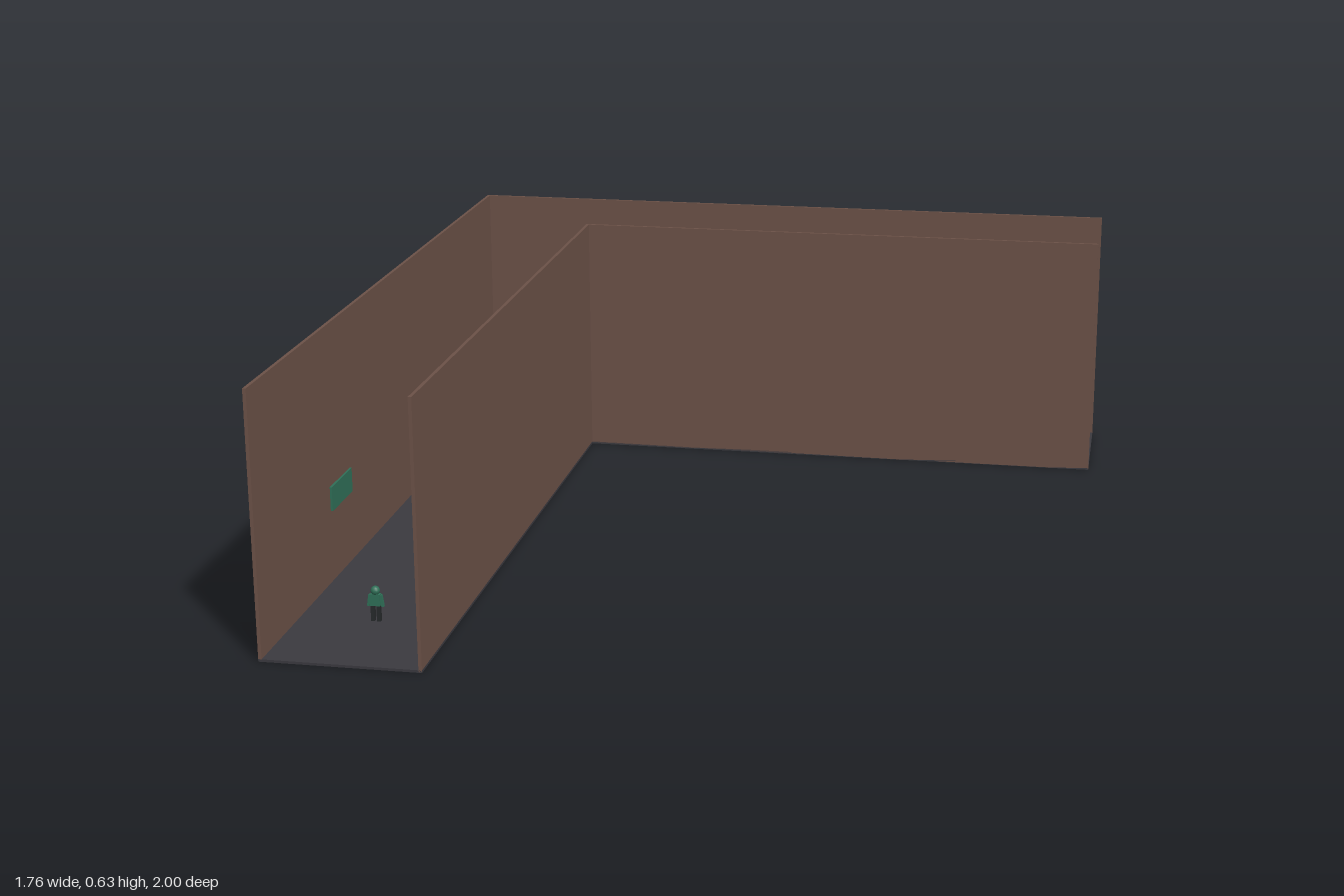
import * as THREE from 'three';

const mat = (name, color) => {
  const m = new THREE.MeshStandardMaterial({ color });
  m.name = name;
  return m;
};

export function createModel() {
  const root = new THREE.Group();
  root.name = 'corridor';
  const brown = mat('wall brown', 0x6b5147);
  const slate = mat('floor slate', 0x3a393f);
  const green = mat('dull green', 0x2f6f57);
  const dark = mat('dark metal', 0x26292b);

  // Box given by its minimum and maximum corners
  const block = (name, material, [x0, y0, z0], [x1, y1, z1], parent = root) => {
    const mesh = new THREE.Mesh(new THREE.BoxGeometry(x1 - x0, y1 - y0, z1 - z0), material);
    mesh.position.set((x0 + x1) / 2, (y0 + y1) / 2, (z0 + z1) / 2);
    mesh.name = name;
    parent.add(mesh);
    return mesh;
  };

  // Plan of the L-shaped corridor
  const X = 0.88, Z = 1, H = 0.63, T = 0.008, F = 0.006;
  const IX = -0.505, IZ = -0.67;

  // L-shaped floor
  const plan = new THREE.Shape([
    [-X, Z], [-X, -Z], [X, -Z], [X, IZ], [IX, IZ], [IX, Z],
  ].map(([x, z]) => new THREE.Vector2(x, -z)));
  const floorGeometry = new THREE.ExtrudeGeometry(plan, { depth: F, bevelEnabled: false });
  floorGeometry.rotateX(-Math.PI / 2);
  const floor = new THREE.Mesh(floorGeometry, slate);
  floor.name = 'floor';
  root.add(floor);

  // Outer and inner walls; they meet at the two corners
  block('outerSideWall', brown, [-X, 0.001, -Z], [-X + T, H, Z]);
  block('outerBackWall', brown, [-X + T, 0.001, -Z], [X, H, -Z + T]);
  block('innerSideWall', brown, [IX - T, 0.001, IZ - T], [IX, H, Z]);
  block('innerBackWall', brown, [IX, 0.001, IZ - T], [X, H, IZ]);

  // Desk with a thin overhanging top
  const desk = new THREE.Group();
  desk.name = 'desk';
  root.add(desk);
  block('deskBody', green, [-0.668, 0.002, -0.003], [-0.59, 0.064, 0.109], desk);
  block('deskTop', slate, [-0.673, 0.064, -0.008], [-0.585, 0.069, 0.115], desk);

  // Panels on the side walls
  block('greenWallPanel', green, [-X + T, 0.18, 0.35], [-X + T + 0.005, 0.24, 0.5]);
  block('darkWallPanel', dark, [IX - T - 0.004, 0.2, 0.35], [IX - T, 0.27, 0.5]);

  // Counter and shelf against the back wall
  const shelves = new THREE.Group();
  shelves.name = 'shelves';
  root.add(shelves);
  block('counterBack', brown, [0.54, F, -0.972], [0.695, 0.185, -0.967], shelves);
  block('counterTop', slate, [0.54, 0.127, -0.967], [0.695, 0.132, -0.915], shelves);
  block('shelfBack', dark, [0.54, 0.228, -0.985], [0.695, 0.3, -0.98], shelves);
  block('shelfTop', slate, [0.54, 0.261, -0.98], [0.695, 0.267, -0.915], shelves);

  // Small standing figure
  const figure = new THREE.Group();
  figure.name = 'figure';
  figure.position.set(-0.692, F, 0.735);
  root.add(figure);
  block('torso', green, [-0.012, 0.038, -0.007], [0.012, 0.066, 0.007], figure);
  for (const side of [-1, 1]) {
    const leg = block('leg', dark, [-0.0045, 0, -0.005], [0.0045, 0.038, 0.005], figure);
    leg.position.x = side * 0.007;
    const arm = block('arm', green, [-0.003, 0.036, -0.004], [0.003, 0.064, 0.004], figure);
    arm.position.x = side * 0.015;
    arm.rotation.z = side * 0.15;
  }
  const head = new THREE.Mesh(new THREE.SphereGeometry(0.011, 12, 8), green);
  head.position.y = 0.074;
  head.name = 'head';
  figure.add(head);

  return root;
}
